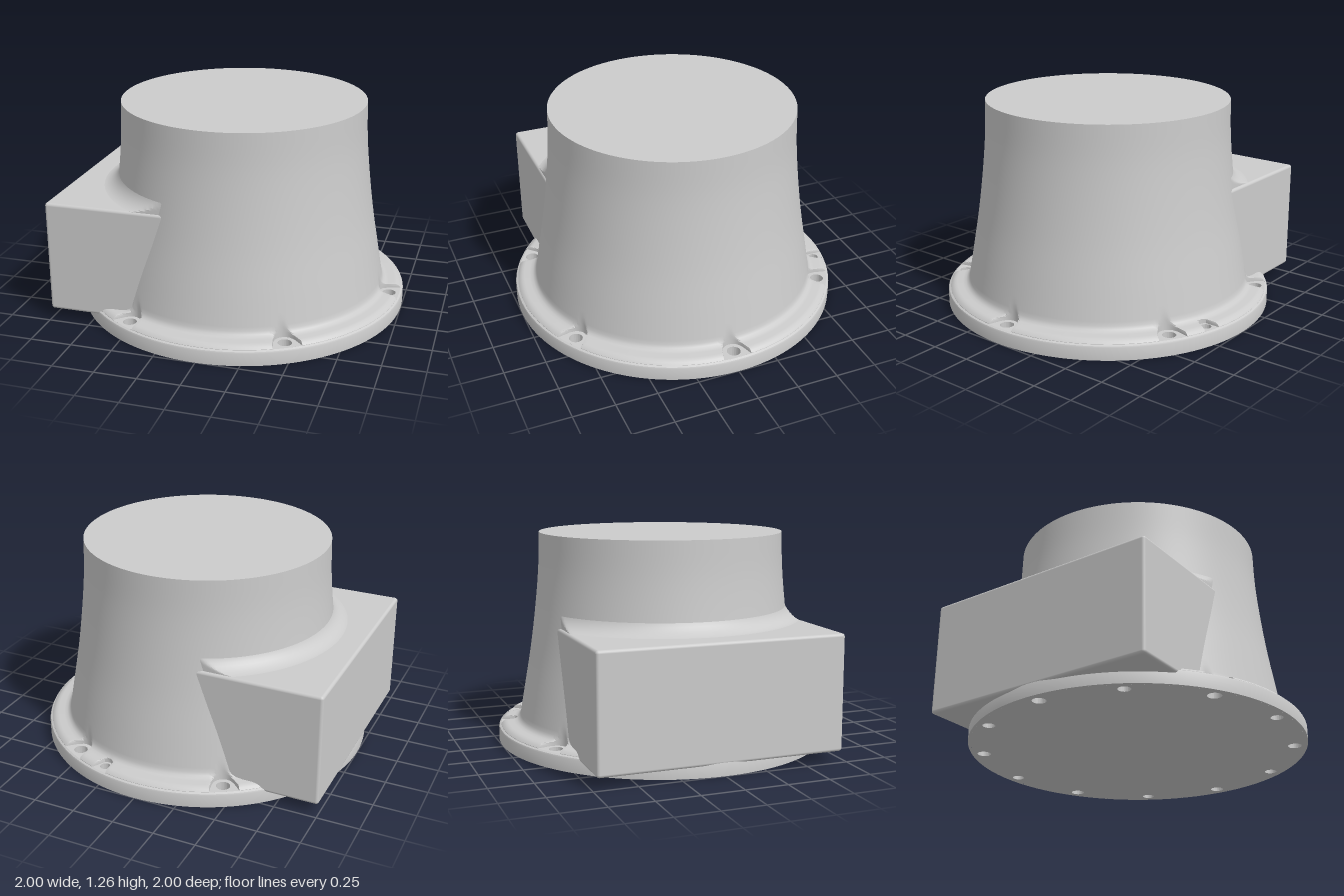
import * as THREE from 'three';
import { toCreasedNormals } from 'three/addons/utils/BufferGeometryUtils.js';
import { RoundedBoxGeometry } from 'three/addons/geometries/RoundedBoxGeometry.js';

const grey = new THREE.MeshStandardMaterial({ color: 0xcccccc });
const SIDES = 360;
const BOLT_RADIUS = 0.925;

// Six bolt positions (x, z), plus the blind dimple at the back.
const ring = (offset) => Array.from({ length: 6 }, (_, i) => {
  const a = offset + i * Math.PI / 3;
  return { x: BOLT_RADIUS * Math.cos(a), z: BOLT_RADIUS * Math.sin(a) };
});
const bolts = ring(0);
const blindHoles = ring(Math.PI / 6);
const dimple = { x: 0.24, z: -0.9 };

function add(group, name, geometry) {
  const mesh = new THREE.Mesh(geometry, grey);
  mesh.name = name;
  group.add(mesh);
  return mesh;
}

// Revolves a profile, starting at -x; limit(dx, dz, r) returns the allowed radius.
function revolve(points, limit) {
  const g = new THREE.LatheGeometry(
    points.map(([r, y]) => new THREE.Vector2(r, y)), SIDES, -Math.PI / 2);
  if (limit) {
    const p = g.attributes.position;
    for (let i = 0; i < p.count; i++) {
      const x = p.getX(i), z = p.getZ(i), r = Math.hypot(x, z);
      const k = limit(x / r, z / r, r) / r;
      p.setX(i, x * k);
      p.setZ(i, z * k);
    }
  }
  return toCreasedNormals(g, 0.6);
}

// Cuts a round spot face: stops the radius where a ray enters a hole's circle.
function spotFaceLimit(dx, dz, r) {
  const cut = ({ x, z }, size) => {
    const along = x * dx + z * dz;
    const across = x * dz - z * dx;
    if (along > 0 && Math.abs(across) < size) {
      r = Math.min(r, along - Math.sqrt(size * size - across * across));
    }
  };
  bolts.forEach((b) => cut(b, 0.066));
  cut(dimple, 0.045);
  return r;
}

// A disc layer pierced by round holes, lying flat with its underside at y.
function piercedDisc(radius, y, depth, holes) {
  const shape = new THREE.Shape().absarc(0, 0, radius, 0, Math.PI * 2);
  for (const h of holes) {
    shape.holes.push(new THREE.Path().absarc(h.x, -h.z, h.r, 0, Math.PI * 2, true));
  }
  const g = new THREE.ExtrudeGeometry(shape, { depth, bevelEnabled: false, curveSegments: 96 });
  g.rotateX(-Math.PI / 2);
  g.translate(0, y, 0);
  return toCreasedNormals(g, 0.6);
}

export function createModel() {
  const model = new THREE.Group();
  model.name = 'flaredHousing';

  // Flange: two pierced layers, so the blind holes stop halfway
  const flange = new THREE.Group();
  flange.name = 'flange';
  model.add(flange);
  const sized = (list, r) => list.map((h) => ({ ...h, r }));
  const through = sized(bolts, 0.04);
  add(flange, 'flangeLowerLayer',
    piercedDisc(0.985, 0, 0.05, [...through, ...sized(blindHoles, 0.036)]));
  add(flange, 'flangeUpperLayer',
    piercedDisc(0.985, 0.05, 0.04, [...through, { ...dimple, r: 0.03 }]));
  add(flange, 'flangeRim', revolve([[0.985, 0], [1, 0], [1, 0.075], [0.996, 0.084], [0.985, 0.09]]));

  // Flared body, flowing out into the flange top, notched around the bolts
  const foot = [[0.985, 0.09], [0.985, 0.092], [0.975, 0.103], [0.96, 0.111], [0.945, 0.114],
    [0.91, 0.114], [0.89, 0.118], [0.876, 0.128], [0.867, 0.145]];
  const flare = new THREE.SplineCurve([[0.867, 0.145], [0.837, 0.32], [0.795, 0.57], [0.763, 0.82],
    [0.742, 1.05], [0.735, 1.26]].map(([r, y]) => new THREE.Vector2(r, y)));
  const wall = flare.getPoints(24).slice(1).map((p) => [p.x, p.y]);
  add(model, 'flaredBody', revolve([...foot, ...wall], spotFaceLimit));

  const top = add(model, 'bodyTop', new THREE.CircleGeometry(0.735, SIDES));
  top.rotation.x = -Math.PI / 2;
  top.position.y = 1.26;

  // Side box
  const box = add(model, 'sideBox', new RoundedBoxGeometry(0.75, 0.675, 1.45, 3, 0.018));
  box.position.set(-0.625, 0.4025, -0.003);

  // Concave fillet from the box top up to the body, kept within the box width
  const fillet = [];
  for (let i = 0; i <= 10; i++) {
    const a = (i / 10) * Math.PI / 2;
    fillet.push([0.875 - 0.122 * Math.sin(a), 0.862 - 0.124 * Math.cos(a)]);
  }
  add(model, 'boxFillet', revolve(fillet, (dx, dz, r) =>
    dx > -0.2 ? Math.min(r, 0.7) : Math.min(r, 0.712 / Math.max(Math.abs(dz), 0.01))));

  return model;
}
